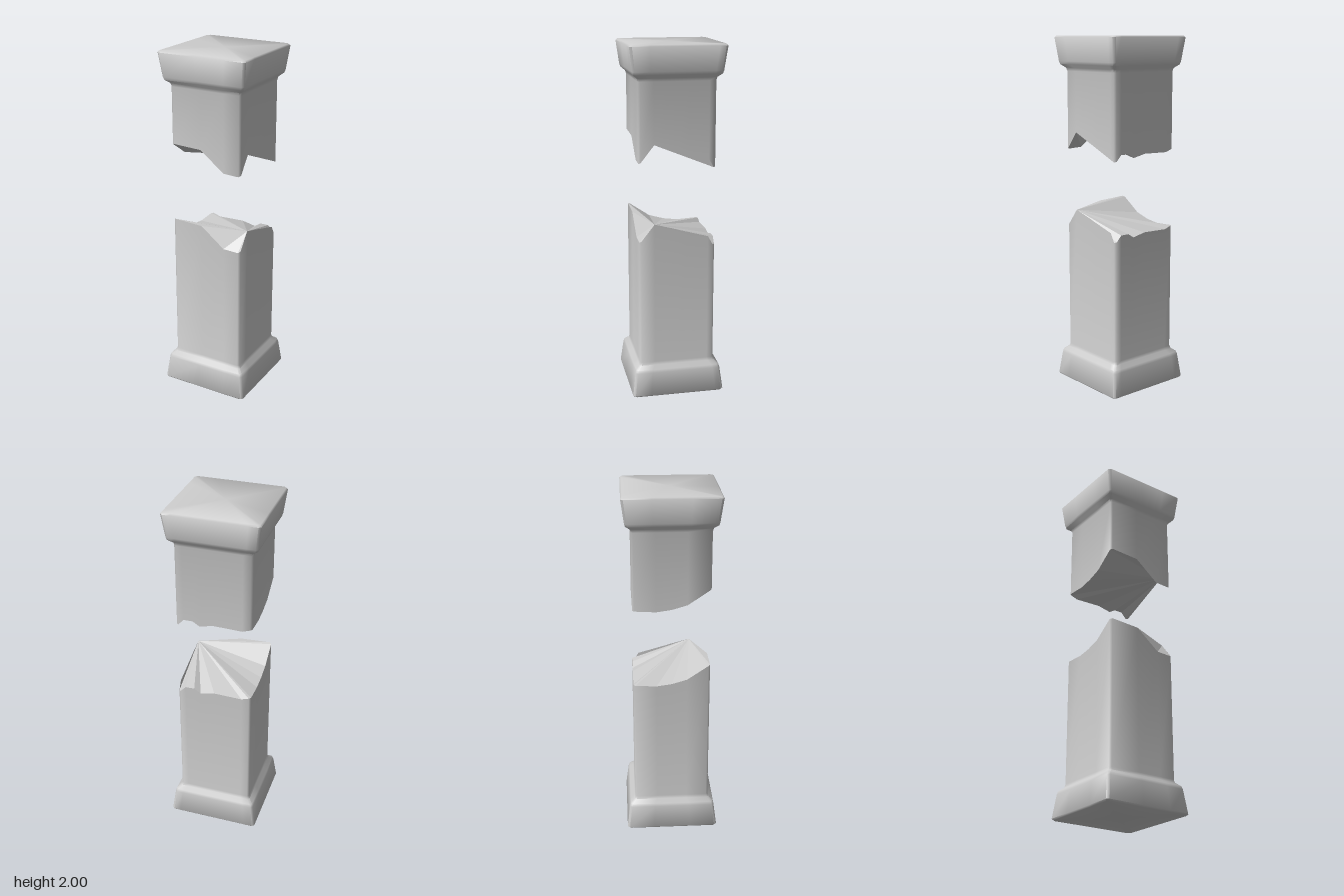
import * as THREE from 'three';
import { toCreasedNormals } from 'three/addons/utils/BufferGeometryUtils.js';

const SHAFT = 0.214; // half width of the shaft
const GAP = 0.445;   // distance between the two fracture edges

// Fracture edge walked once around the shaft: x and z as fractions of the half width, and height.
// The first point is the peak from which the broken face fans out.
const RIM = [
  [1, 0.6, 1.02], [1, 0.95, 0.925], [0.95, 1, 0.918],            // notch at the front left corner
  [0.52, 1, 0.922], [-0.14, 1, 1.032], [-0.95, 1, 1.04],         // front
  [-1, 0.95, 1.035], [-1, 0.4, 0.955], [-1, 0, 0.93],            // right side
  [-1, -0.4, 0.918], [-1, -0.95, 0.925], [-0.95, -1, 0.925],
  [-0.75, -1, 0.91], [0, -1, 0.915], [0.38, -1, 0.898],          // back
  [0.56, -1, 0.922], [0.8, -1, 0.922], [0.95, -1, 0.888],
  [1, -0.95, 0.885], [1, -0.82, 0.935], [1, -0.3, 0.953],        // left side
  [1, 0, 0.985], [1, 0.3, 1.0],
];
const N = RIM.length;

// Moulding from the outer end inwards: half width and distance from that end
const MOULDING = [
  [0.257, 0], [0.265, 0.009], [0.248, 0.14], [0.243, 0.157], [0.219, 0.177], [SHAFT, 0.195],
];

const ring = (half, y) => RIM.map(([x, z]) => [x * half, y, z * half]);
const rimRing = (lift) => RIM.map(([x, z, y]) => [x * SHAFT, y + lift, z * SHAFT]);

function geometryFrom(points, index) {
  const g = new THREE.BufferGeometry();
  g.setAttribute('position', new THREE.Float32BufferAttribute(points.flat(), 3));
  g.setIndex(index);
  return g;
}

// Skin over rings listed from bottom to top, with a flat end at the bottom or the top
function skin(rings, endAtTop) {
  const points = rings.flat();
  const index = [];
  for (let r = 0; r < rings.length - 1; r++) {
    for (let i = 0; i < N; i++) {
      const a = r * N + i, b = r * N + (i + 1) % N;
      index.push(a, a + N, b, b, a + N, b + N);
    }
  }
  const base = endAtTop ? (rings.length - 1) * N : 0;
  const centre = points.length;
  points.push([0, points[base][1], 0]);
  for (let i = 0; i < N; i++) {
    const a = base + i, b = base + (i + 1) % N;
    index.push(centre, ...(endAtTop ? [b, a] : [a, b]));
  }
  return toCreasedNormals(geometryFrom(points, index), 0.9);
}

// Rough broken face, fanned from the peak
function fracture(points, facesUp) {
  const index = [];
  for (let i = 1; i < N - 1; i++) index.push(0, ...(facesUp ? [i + 1, i] : [i, i + 1]));
  const g = geometryFrom(points, index).toNonIndexed();
  g.computeVertexNormals();
  return g;
}

export function createModel() {
  const model = new THREE.Group();
  model.name = 'brokenPillar';
  const smooth = new THREE.MeshStandardMaterial({ color: 0xcccccc });
  const rough = new THREE.MeshStandardMaterial({ color: 0xcccccc, flatShading: true });
  const add = (name, geometry, material) => {
    const mesh = new THREE.Mesh(geometry, material);
    mesh.name = name;
    model.add(mesh);
  };

  // Standing stump with its base moulding
  const low = rimRing(0);
  add('lowerShaft', skin([...MOULDING.map(([h, d]) => ring(h, d)), low], false), smooth);
  add('lowerBreak', fracture(low, true), rough);

  // Floating upper piece with the mirrored moulding as capital
  const high = rimRing(GAP);
  add('upperShaft', skin([high, ...MOULDING.map(([h, d]) => ring(h, 2 - d)).reverse()], true), smooth);
  add('upperBreak', fracture(high, false), rough);

  return model;
}
